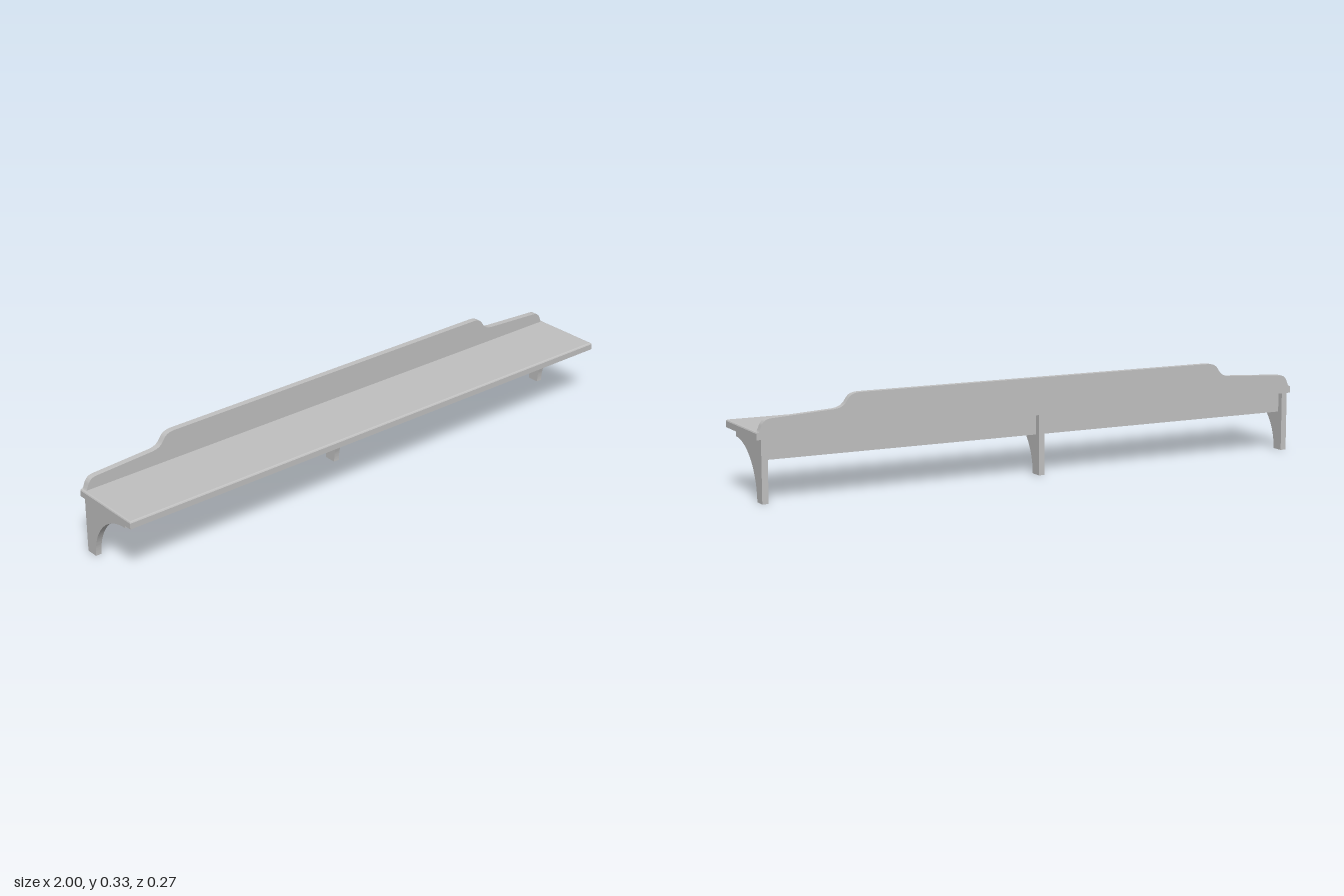
import * as THREE from 'three';
import { toCreasedNormals } from 'three/addons/utils/BufferGeometryUtils.js';

const BACK = -0.136, FRONT = 0.136;
const grey = new THREE.MeshStandardMaterial({ color: 0xc0c0c0 });
grey.name = 'light grey';

function part(name, geometry, x = 0, y = 0, z = 0) {
  const mesh = new THREE.Mesh(geometry, grey);
  mesh.name = name;
  mesh.position.set(x, y, z);
  return mesh;
}

// Board whose upper edge is eased at the front and both ends
function shelfGeometry() {
  const rows = [[0.203, 0], [0.223, 0], [0.2265, 0.002], [0.228, 0.006]]; // height, inset
  const geo = new THREE.BoxGeometry(2, 3, FRONT - BACK, 1, 3, 1);
  const p = geo.attributes.position;
  for (let i = 0; i < p.count; i++) {
    const [y, inset] = rows[Math.round(p.getY(i) + 1.5)];
    p.setXYZ(i, Math.sign(p.getX(i)) * (1 - inset), y, p.getZ(i) > 0 ? FRONT - inset : BACK);
  }
  return toCreasedNormals(geo, 0.3);
}

// Upstand outline: low rounded ends sweeping up to a raised middle
function upstandGeometry() {
  const s = new THREE.Shape();
  s.moveTo(-0.993, 0.226);
  s.lineTo(0.993, 0.226);
  s.bezierCurveTo(0.982, 0.24, 0.985, 0.264, 0.955, 0.268);
  s.lineTo(0.74, 0.28);
  s.bezierCurveTo(0.68, 0.285, 0.71, 0.328, 0.65, 0.328);
  s.lineTo(-0.65, 0.328);
  s.bezierCurveTo(-0.71, 0.328, -0.68, 0.285, -0.74, 0.28);
  s.lineTo(-0.955, 0.268);
  s.bezierCurveTo(-0.985, 0.264, -0.982, 0.24, -0.993, 0.226);
  const geo = new THREE.ExtrudeGeometry(s, { depth: 0.022, bevelEnabled: false, curveSegments: 12 });
  return toCreasedNormals(geo, 0.6);
}

// Bracket drawn in (z, y) with a concave quarter curve, then turned to face forward
function bracketGeometry(width) {
  const s = new THREE.Shape();
  s.moveTo(BACK, 0);
  s.lineTo(-0.093, 0);
  s.absellipse(0.085, 0, 0.178, 0.18, Math.PI, Math.PI / 2, true);
  s.lineTo(0.085, 0.203);
  s.lineTo(BACK, 0.203);
  const geo = new THREE.ExtrudeGeometry(s, { depth: width, bevelEnabled: false, curveSegments: 28 });
  geo.translate(0, 0, -width / 2).rotateY(-Math.PI / 2);
  return toCreasedNormals(geo, 0.5);
}

export function createModel() {
  const model = new THREE.Group();
  model.name = 'wallShelf';
  model.add(part('shelfBoard', shelfGeometry()));
  model.add(part('backUpstand', upstandGeometry(), 0, 0, BACK));

  // Three brackets
  const bracket = bracketGeometry(0.021);
  for (const x of [-0.975, 0, 0.975]) model.add(part('bracket', bracket, x));

  // Rails between the brackets, set in from the back
  const rail = new THREE.BoxGeometry(0.954, 0.068, 0.02);
  for (const side of [-1, 1]) model.add(part('rail', rail, side * 0.4875, 0.169, -0.106));
  return model;
}
